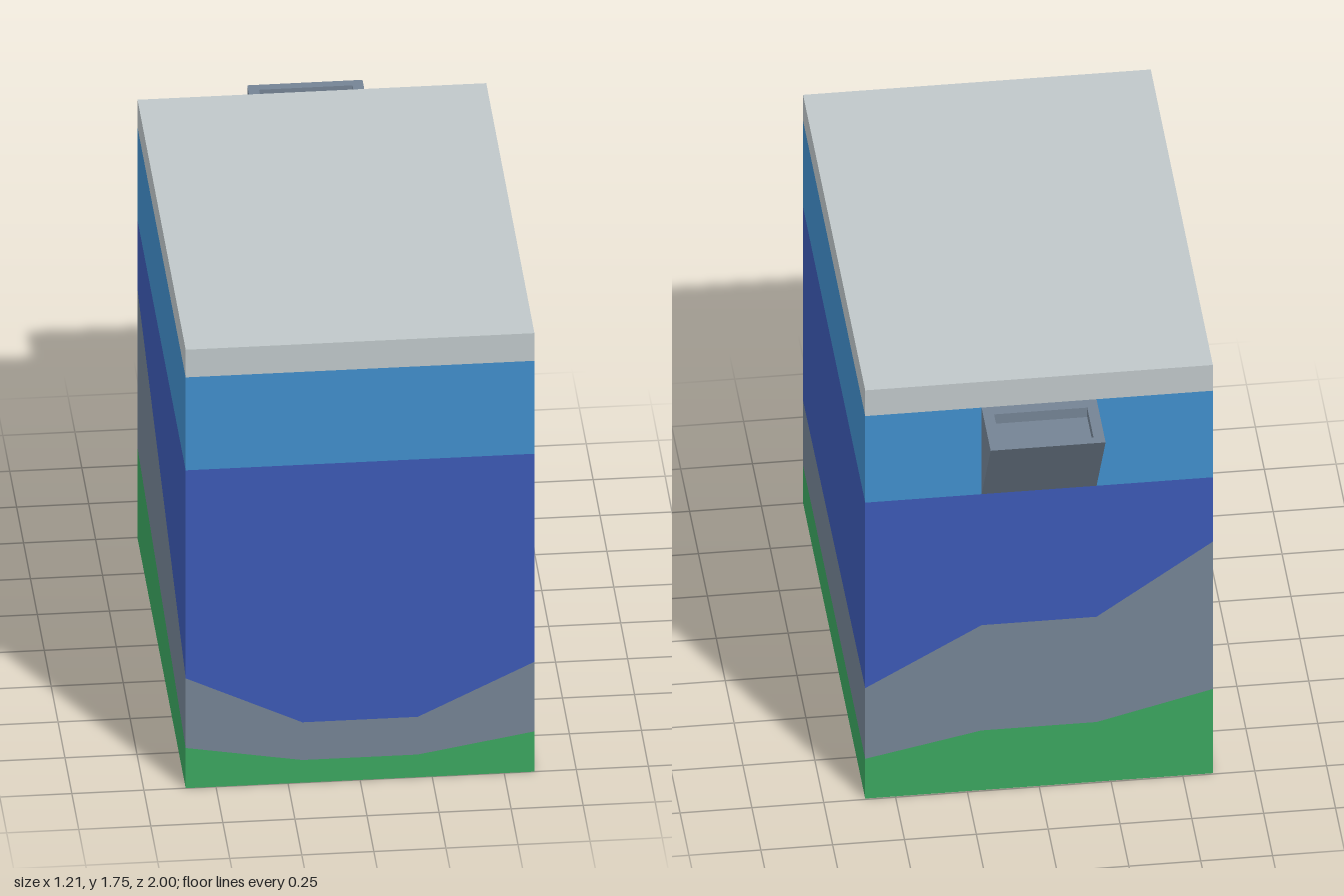
import * as THREE from 'three';

const paint = (name, color) => Object.assign(new THREE.MeshStandardMaterial({ color }), { name });

const grassGreen = paint('grass green', 0x3ba55f);
const slateGrey = paint('slate grey', 0x748394);
const deepBlue = paint('deep blue', 0x3c59b4);
const skyBlue = paint('sky blue', 0x418ecb);
const paleGrey = paint('pale grey', 0xbfc7c9);

const XS = [-0.605, -0.2, 0.2, 0.605];
const FRONT = 1, BACK = -0.745;

// Boundary surfaces between bands: heights at XS along the front and back walls
const flat = (y) => ({ front: XS.map(() => y), back: XS.map(() => y) });
const boundaries = [
  flat(0),
  { front: [0.16, 0.09, 0.09, 0.16], back: [0.36, 0.255, 0.255, 0.17] },
  { front: [0.437, 0.24, 0.24, 0.437], back: [0.99, 0.705, 0.705, 0.472] },
  flat(1.265),
  flat(1.635),
  flat(1.745),
];

// Closed solid between two boundary surfaces
function bandGeometry(low, high) {
  const pos = [];
  const quad = (a, b, c, d) => pos.push(...a, ...b, ...c, ...a, ...c, ...d);
  const f = (s, i) => [XS[i], s.front[i], FRONT];
  const b = (s, i) => [XS[i], s.back[i], BACK];
  for (let i = 0; i < XS.length - 1; i++) {
    const j = i + 1;
    quad(f(low, i), f(low, j), f(high, j), f(high, i));
    quad(b(low, j), b(low, i), b(high, i), b(high, j));
    quad(f(high, i), f(high, j), b(high, j), b(high, i));
    quad(b(low, i), b(low, j), f(low, j), f(low, i));
  }
  const e = XS.length - 1;
  quad(f(low, e), b(low, e), b(high, e), f(high, e));
  quad(b(low, 0), f(low, 0), f(high, 0), b(high, 0));
  const geo = new THREE.BufferGeometry();
  geo.setAttribute('position', new THREE.Float32BufferAttribute(pos, 3));
  geo.computeVertexNormals();
  return geo;
}

// Side profile (distance behind centre, height) extruded across x
function slab(profile, x0, x1) {
  const shape = new THREE.Shape(profile.map(([u, v]) => new THREE.Vector2(u, v)));
  const geo = new THREE.ExtrudeGeometry(shape, { depth: x1 - x0, bevelEnabled: false });
  return geo.rotateY(Math.PI / 2).translate(x0, 0, 0);
}

export function createModel() {
  const model = new THREE.Group();
  model.name = 'bandedBlock';
  const add = (parent, name, geo, mat) => {
    const mesh = new THREE.Mesh(geo, mat);
    mesh.name = name;
    parent.add(mesh);
  };

  // Stacked colour bands
  const bands = [
    ['grassBand', grassGreen], ['hillBand', slateGrey], ['lowerSkyBand', deepBlue],
    ['upperSkyBand', skyBlue], ['lid', paleGrey],
  ];
  bands.forEach(([name, mat], i) => add(model, name, bandGeometry(boundaries[i], boundaries[i + 1]), mat));

  // Wedge-shaped hopper on the back with a shallow recess in its top
  const hopper = new THREE.Group();
  hopper.name = 'hopper';
  const wedge = [[0.745, 1.265], [1, 1.635], [0.745, 1.635]];
  const notched = [
    [0.745, 1.265], [1, 1.635], [0.965, 1.635], [0.965, 1.595],
    [0.79, 1.595], [0.79, 1.635], [0.745, 1.635],
  ];
  add(hopper, 'hopperRightCheek', slab(wedge, -0.2, -0.162), slateGrey);
  add(hopper, 'hopperTray', slab(notched, -0.162, 0.162), slateGrey);
  add(hopper, 'hopperLeftCheek', slab(wedge, 0.162, 0.2), slateGrey);
  model.add(hopper);

  return model;
}
